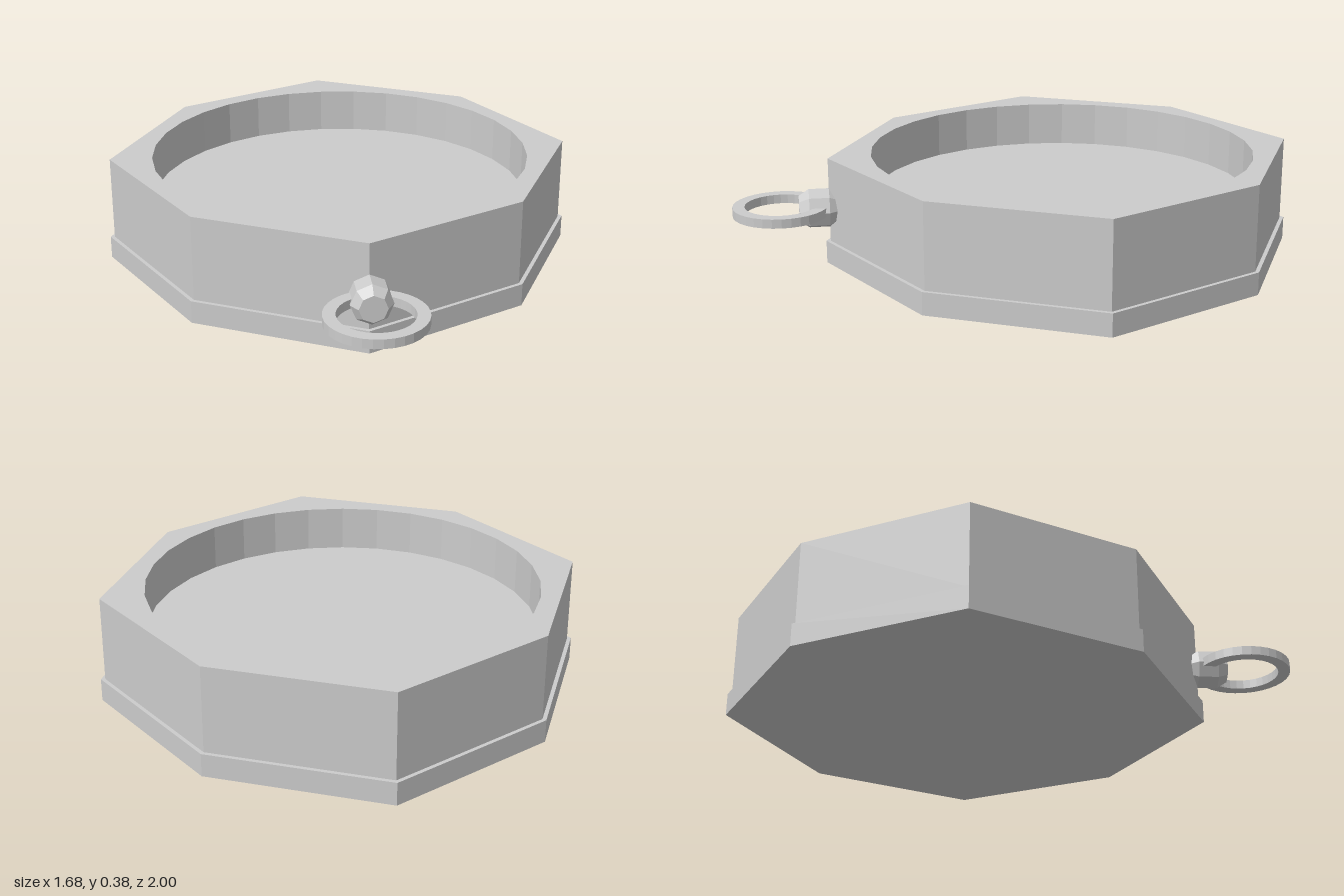
import * as THREE from 'three';

const material = new THREE.MeshStandardMaterial({ color: 0xcccccc, flatShading: true });
const CENTER_Z = -0.16;

// Eight-sided outline whose diagonal corners sit at two thirds of the radius
function octagon(r) {
  const k = r * 2 / 3;
  return new THREE.Shape([
    [r, 0], [k, k], [0, r], [-k, k], [-r, 0], [-k, -k], [0, -r], [k, -k],
  ].map(([x, y]) => new THREE.Vector2(x, y)));
}

function circleHole(shape, r) {
  shape.holes.push(new THREE.Path().absarc(0, 0, r, 0, Math.PI * 2, true));
  return shape;
}

// Extrude an outline upwards from y0 to y1
function slab(shape, y0, y1) {
  return new THREE.ExtrudeGeometry(shape, { depth: y1 - y0, bevelEnabled: false, curveSegments: 16 })
    .rotateX(-Math.PI / 2)
    .translate(0, y0, 0);
}

export function createModel() {
  const model = new THREE.Group();
  model.name = 'octagonalCase';

  const add = (name, geometry, z) => {
    const mesh = new THREE.Mesh(geometry, material);
    mesh.name = name;
    mesh.position.z = z;
    model.add(mesh);
  };

  // Wider foot plate
  add('base', slab(octagon(0.84), 0, 0.08), CENTER_Z);

  // Case wall with a round recess
  add('caseWall', slab(circleHole(octagon(0.825), 0.675), 0.08, 0.38), CENTER_Z);

  // Floor of the recess
  add('recessFloor', new THREE.CircleGeometry(0.675, 32).rotateX(-Math.PI / 2).translate(0, 0.22, 0), CENTER_Z);

  // Faceted knob with chamfered ends, pointing forward
  const profile = [[0, -0.07], [0.047, -0.07], [0.07, -0.035], [0.07, 0.035], [0.047, 0.07], [0, 0.07]];
  const knob = new THREE.LatheGeometry(profile.map(([x, y]) => new THREE.Vector2(x, y)), 8)
    .rotateX(Math.PI / 2)
    .translate(0, 0.203, 0);
  add('knob', knob, 0.7);

  // Flat hanging ring through the knob
  const ringShape = circleHole(new THREE.Shape().absarc(0, 0, 0.167, 0, Math.PI * 2, false), 0.125);
  add('ring', slab(ringShape, 0.188, 0.22), 0.832);

  return model;
}
